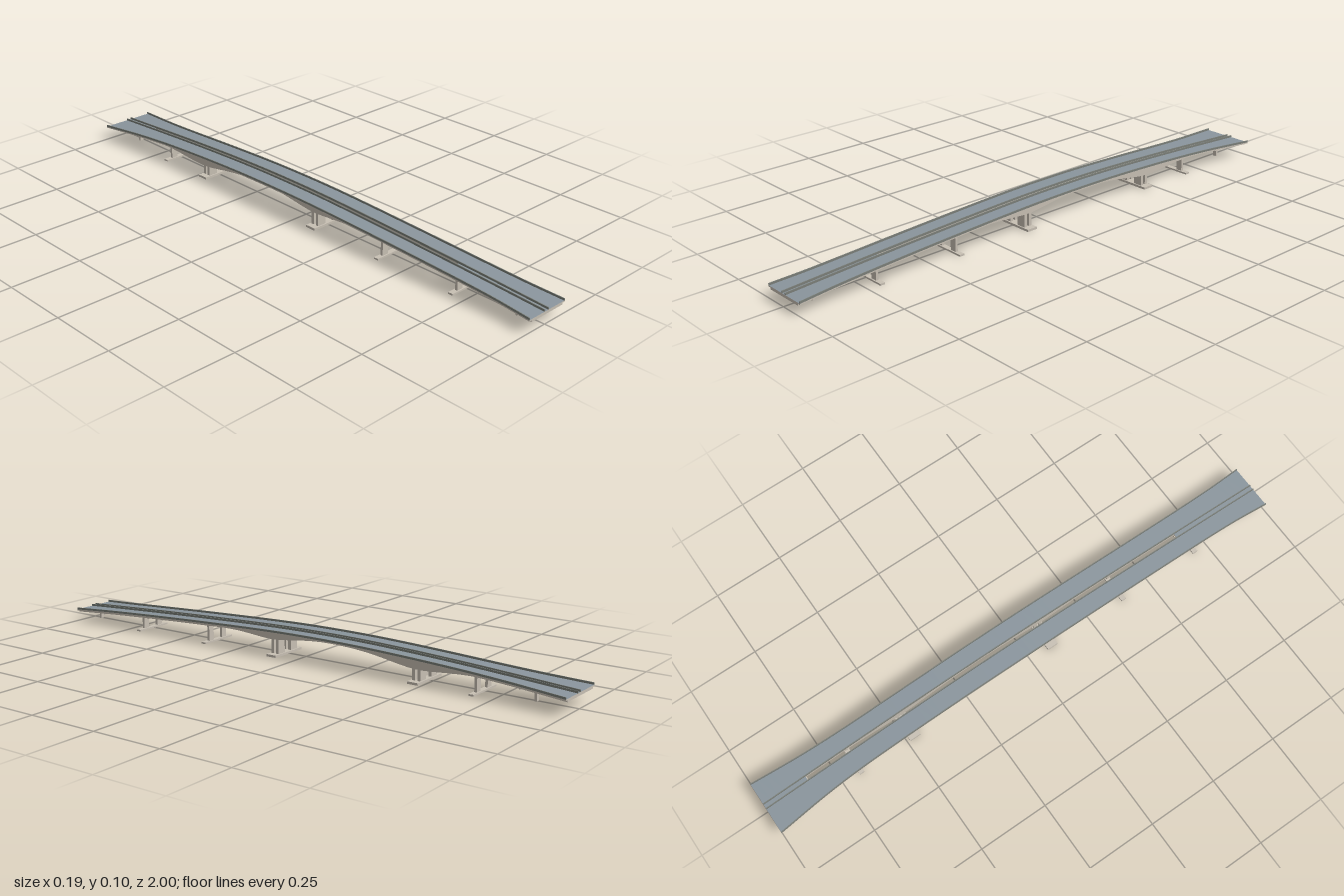
import * as THREE from 'three';

const asphalt = new THREE.MeshStandardMaterial({ color: 0x8a959d });
asphalt.name = 'asphalt';
const concrete = new THREE.MeshStandardMaterial({ color: 0xc8c0b4 });
concrete.name = 'concrete';
const barrierGrey = new THREE.MeshStandardMaterial({ color: 0x7b7f79 });
barrierGrey.name = 'barrierGrey';
const mats = [asphalt, concrete, barrierGrey];

// Smooth interpolation through [z, value] pairs, sorted by z
function curve(points) {
  return (z) => {
    const n = points.length;
    let i = 0;
    while (i < n - 2 && z > points[i + 1][0]) i++;
    const slope = (k) => {
      const a = points[Math.max(0, k - 1)], b = points[Math.min(n - 1, k + 1)];
      return (b[1] - a[1]) / (b[0] - a[0]);
    };
    const [z0, v0] = points[i], [z1, v1] = points[i + 1];
    const h = z1 - z0, t = (z - z0) / h, t2 = t * t, t3 = t2 * t;
    return (2 * t3 - 3 * t2 + 1) * v0 + (t3 - 2 * t2 + t) * h * slope(i)
      + (3 * t2 - 2 * t3) * v1 + (t3 - t2) * h * slope(i + 1);
  };
}

// Road height, depth of the girder below it, and outer edges
const roadY = curve([[-1, 0.051], [-0.6, 0.074], [-0.3, 0.086], [-0.1, 0.0885],
  [0.1, 0.086], [0.39, 0.075], [0.7, 0.06], [1, 0.043]]);
const depth = curve([[-1, 0.01], [-0.75, 0.01], [-0.66, 0.012], [-0.5, 0.031], [-0.44, 0.031],
  [-0.3, 0.014], [-0.19, 0.008], [-0.08, 0.01], [0.07, 0.026], [0.11, 0.026], [0.26, 0.011],
  [0.4, 0.01], [1, 0.01]]);
const leftEdge = curve([[-1, 0.096], [-0.8, 0.081], [-0.6, 0.076], [0, 0.078], [0.6, 0.08],
  [0.85, 0.084], [1, 0.092]]);
const rightEdge = curve([[-1, -0.099], [-0.8, -0.079], [-0.6, -0.071], [0, -0.069],
  [0.6, -0.066], [0.85, -0.067], [1, -0.075]]);
const INNER = { right: -0.002, left: 0.013 };

// Loft a four-sided section [bottom, +x side, top, -x side] along z
function loft(name, z0, z1, box, sides, steps = 72) {
  const pos = [], geo = new THREE.BufferGeometry();
  const ring = (z) => {
    const [xa, xb, y0, y1] = box(z);
    return [[xa, y0, z], [xb, y0, z], [xb, y1, z], [xa, y1, z]];
  };
  const quad = (a, b, c, d) => pos.push(...a, ...b, ...c, ...a, ...c, ...d);
  const rings = Array.from({ length: steps + 1 }, (_, k) => ring(z0 + (z1 - z0) * k / steps));
  for (let s = 0; s < 4; s++) {
    const n = (s + 1) % 4;
    for (let k = 0; k < steps; k++) quad(rings[k][s], rings[k][n], rings[k + 1][n], rings[k + 1][s]);
    geo.addGroup(s * steps * 6, steps * 6, sides[s]);
  }
  const first = rings[0], last = rings[steps];
  quad(last[0], last[1], last[2], last[3]);
  quad(first[1], first[0], first[3], first[2]);
  geo.addGroup(4 * steps * 6, 12, sides[1]);
  geo.setAttribute('position', new THREE.Float32BufferAttribute(pos, 3));
  geo.computeVertexNormals();
  const mesh = new THREE.Mesh(geo, mats);
  mesh.name = name;
  return mesh;
}

function block(name, x0, x1, y0, y1, z, dz) {
  const mesh = new THREE.Mesh(new THREE.BoxGeometry(x1 - x0, y1 - y0, dz), concrete);
  mesh.position.set((x0 + x1) / 2, (y0 + y1) / 2, z);
  mesh.name = name;
  return mesh;
}

// One carriageway: slab with overhang, haunched girder and two barriers
function carriageway(side) {
  const g = new THREE.Group();
  g.name = side + 'Carriageway';
  const out = side === 'left' ? 1 : -1;
  const edge = side === 'left' ? leftEdge : rightEdge;
  const inner = INNER[side];
  const span = (a, b) => [Math.min(a, b), Math.max(a, b)];
  const SLAB = 0.004, RAIL = 0.003, HIGH = 0.007;
  g.add(loft('deckSlab', -1, 1, (z) =>
    [...span(inner, edge(z)), roadY(z) - SLAB, roadY(z)], [0, 1, 0, 1]));
  g.add(loft('haunchedGirder', -1, 1, (z) =>
    [...span(inner, edge(z) - out * 0.011), roadY(z) - depth(z), roadY(z) - SLAB], [0, 1, 0, 1]));
  g.add(loft('outerBarrier', -1, 1, (z) =>
    [...span(edge(z), edge(z) - out * RAIL), roadY(z), roadY(z) + HIGH], [2, 2, 2, 2]));
  g.add(loft('innerBarrier', -1, 1, (z) =>
    [...span(inner, inner + out * RAIL), roadY(z), roadY(z) + HIGH], [2, 2, 2, 2]));
  return g;
}

// Pier: columns under each carriageway on a shared footing
function pier({ z, width, thick, legs, footing, footHeight, base = 0 }) {
  const g = new THREE.Group();
  g.name = footing ? 'pier' : 'endSupport';
  if (footing) g.add(block('footing', -0.067, 0.078, 0, footHeight, z, footing));
  for (const x of [-0.029, 0.039]) {
    for (const dz of legs) {
      const top = roadY(z + dz) - depth(z + dz) + 0.003;
      g.add(block('column', x - width / 2, x + width / 2, base || footHeight, top, z + dz, thick));
    }
  }
  return g;
}

export function createModel() {
  const model = new THREE.Group();
  model.name = 'bridge';
  model.add(carriageway('left'), carriageway('right'));

  // Closed median and cross beam at both ends of the central gap
  for (const [z0, z1, beamZ] of [[-1, -0.84, -0.84], [0.66, 1, 0.66]]) {
    model.add(loft('medianSlab', z0, z1, (z) =>
      [INNER.right, INNER.left, roadY(z) - depth(z), roadY(z)], [0, 1, 0, 1], 12));
    const y = roadY(beamZ) - depth(beamZ);
    model.add(block('crossBeam', rightEdge(beamZ) + 0.011, leftEdge(beamZ) - 0.011,
      y - 0.002, y + 0.004, beamZ, 0.006));
  }

  // Main piers with twin legs
  for (const z of [0.09, -0.47]) {
    model.add(pier({ z, width: 0.034, thick: 0.011, legs: [-0.01, 0.01], footing: 0.04, footHeight: 0.008 }));
  }
  // Side piers
  for (const z of [0.7, 0.39, -0.68]) {
    model.add(pier({ z, width: 0.024, thick: 0.009, legs: [0], footing: 0.018, footHeight: 0.006 }));
  }
  // Short supports near the ends
  for (const z of [0.925, -0.88]) {
    model.add(pier({ z, width: 0.014, thick: 0.008, legs: [0], footing: 0, footHeight: 0, base: 0.012 }));
  }
  return model;
}
